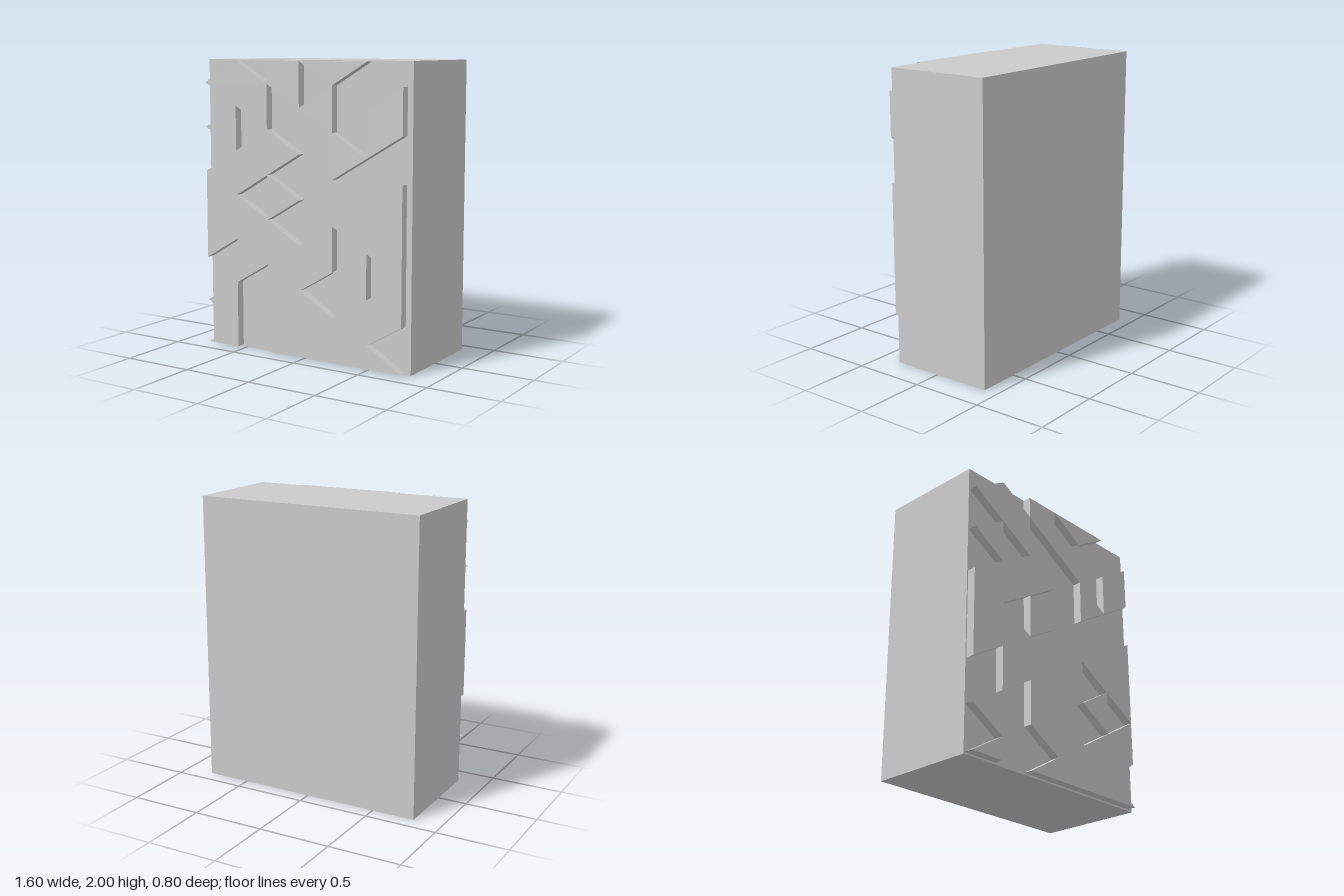
import * as THREE from 'three';

// Relief outlines as [column, row] on a triangular lattice
const OUTLINES = {
  mainRelief: [[0, 8], [0, 4], [1, 5], [1, 3], [2, 4], [2, 2], [3, 1], [2, 0], [6, 0], [5, 1],
    [6, 2], [6, 4], [4, 2], [3, 3], [4, 4], [4, 6], [3, 5], [1, 7], [3, 9], [2, 10]],
  rightTriangle: [[4, 6], [6, 4], [6, 8]],
  innerRightTriangle: [[4, 4], [5, 3], [5, 5]],
  centreTriangle: [[2, 6], [3, 7], [2, 8]],
  upperLeftBlock: [[0, 12], [2, 10], [2, 12], [1, 13]],
  leftTriangle: [[0, 10], [1, 9], [1, 11]],
  lowerLeftTriangle: [[0, 2], [1, 1], [1, 3]],
  cornerTriangle: [[0, 0], [1, 0], [1, 1]],
  topStrip: [[2, 12], [3, 11], [3, 13], [2, 13]],
  topTriangle: [[3, 13], [4, 12], [5, 13]],
  upperTriangle: [[3, 11], [4, 10], [4, 12]],
  hangingTriangle: [[4, 8], [5, 9], [4, 10]],
  upperRightBlock: [[5, 9], [6, 10], [6, 12], [5, 11]],
};

const BASE_FRONT = 0.34;
const RELIEF_DEPTH = 0.06;

function latticePoint([c, r]) {
  return new THREE.Vector2(-0.792 + c * 0.2587, 0.013 + r * 0.1524);
}

export function createModel() {
  const group = new THREE.Group();
  const material = new THREE.MeshStandardMaterial({ color: 0xcccccc, flatShading: true });

  // Solid block behind the relief
  const block = new THREE.Mesh(new THREE.BoxGeometry(1.6, 2, BASE_FRONT + 0.4), material);
  block.name = 'block';
  block.position.set(0, 1, (BASE_FRONT - 0.4) / 2);
  group.add(block);

  // Raised pieces on the front face
  for (const [name, outline] of Object.entries(OUTLINES)) {
    const shape = new THREE.Shape(outline.map(latticePoint));
    const geometry = new THREE.ExtrudeGeometry(shape, { depth: RELIEF_DEPTH, bevelEnabled: false });
    const piece = new THREE.Mesh(geometry, material);
    piece.name = name;
    piece.position.z = BASE_FRONT;
    group.add(piece);
  }
  return group;
}
